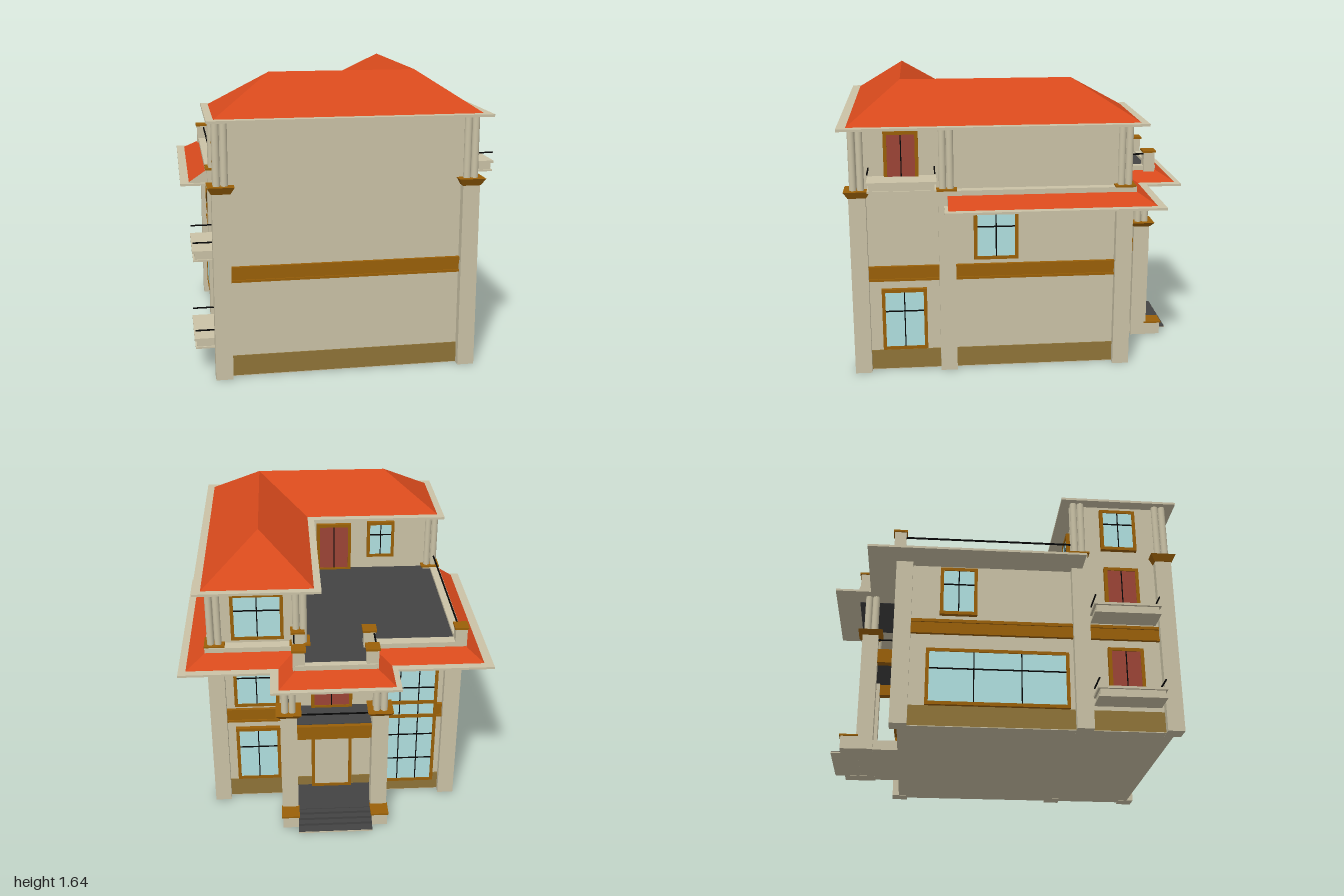
import * as THREE from 'three';

const mat = (name, color) => {
  const m = new THREE.MeshStandardMaterial({ color });
  m.name = name;
  return m;
};

export function createModel() {
  const wall = mat('wall', 0xcac2a6), brown = mat('brownTrim', 0x9a6008), red = mat('roofTile', 0xd6491c);
  const glass = mat('glass', 0xb0e0e0), doorRed = mat('doorRed', 0x9c4436), plinth = mat('plinth', 0x8f7438);
  const dark = mat('darkFloor', 0x434343), black = mat('railing', 0x060606);
  const house = new THREE.Group();
  house.name = 'house';

  const add = (name, geo, m, parent = house) => {
    const mesh = new THREE.Mesh(geo, m);
    mesh.name = name;
    parent.add(mesh);
    return mesh;
  };
  // box given by its limits on each axis
  const box = (name, m, x0, x1, y0, y1, z0, z1, parent = house) => {
    const mesh = add(name, new THREE.BoxGeometry(x1 - x0, y1 - y0, z1 - z0), m, parent);
    mesh.position.set((x0 + x1) / 2, (y0 + y1) / 2, (z0 + z1) / 2);
    return mesh;
  };
  // flat faces from polygons of [x, y, z] corners
  const faces = (name, m, polys) => {
    const p = [];
    for (const f of polys)
      for (let i = 1; i < f.length - 1; i++) p.push(...f[0], ...f[i], ...f[i + 1]);
    const g = new THREE.BufferGeometry();
    g.setAttribute('position', new THREE.Float32BufferAttribute(p, 3));
    g.computeVertexNormals();
    return add(name, g, m);
  };
  // horizontal slab from an [x, z] outline
  const slab = (name, m, pts, y, h) => {
    const s = new THREE.Shape(pts.map(([x, z]) => new THREE.Vector2(x, -z)));
    const g = new THREE.ExtrudeGeometry(s, { depth: h, bevelEnabled: false });
    g.rotateX(-Math.PI / 2);
    add(name, g, m).position.y = y;
  };
  // square flared capital
  const capital = (x, z, y0, y1) => {
    const g = new THREE.CylinderGeometry(0.145 / Math.SQRT2, 0.1 / Math.SQRT2, y1 - y0, 4).toNonIndexed();
    g.computeVertexNormals();
    g.rotateY(Math.PI / 4);
    add('capital', g, brown).position.set(x, (y0 + y1) / 2, z);
  };
  // cluster of four round columns
  const columns = (x, z, y0, y1) => {
    for (const dx of [-1, 1]) for (const dz of [-1, 1])
      add('roundColumn', new THREE.CylinderGeometry(0.02, 0.02, y1 - y0, 16), wall)
        .position.set(x + dx * 0.021, (y0 + y1) / 2, z + dz * 0.021);
  };
  const pillar = (x, z, y1) => box('pillar', wall, x - 0.047, x + 0.047, 0, y1, z - 0.047, z + 0.047);

  const X = 0.68, ZF = 0.905, ZB = -0.585, ZM = 0.415;

  // main body and the L-shaped top floor
  box('lowerFloors', wall, -X, X, 0.006, 1.05, ZB, ZF);
  box('topFrontWing', wall, -X, X, 1.05, 1.43, ZM, ZF);
  box('topSideWing', wall, 0.17, X, 1.05, 1.43, ZB, ZM);

  // foundation, plinth and string course
  box('foundation', wall, -X - 0.006, X + 0.006, 0.001, 0.005, ZB - 0.006, ZF + 0.006);
  box('plinth', plinth, -X - 0.006, X + 0.006, 0.005, 0.12, ZB - 0.006, ZF + 0.006);
  for (const [o, y0, y1] of [[0.012, 0.543, 0.63], [0.02, 0.543, 0.556], [0.02, 0.612, 0.63]])
    box('stringCourse', brown, -X - o, X + o, y0, y1, ZB - o, ZF + o);

  // pillars, capitals and top-floor columns
  for (const s of [-1, 1]) {
    const x = s * X;
    pillar(x, ZF, 1.04);
    capital(x, ZF, 1.04, 1.08);
    columns(x, ZF, 1.08, 1.43);
    pillar(x, ZM, 1.07);
    box('columnBase', brown, x - 0.058, x + 0.058, 1.07, 1.08, ZM - 0.058, ZM + 0.058);
    columns(x, ZM, 1.08, 1.43);
    pillar(x, ZB, s > 0 ? 1.07 : 0.98);
  }
  for (const x of [X, 0.2]) {
    box('columnBase', brown, x - 0.058, x + 0.058, 1.07, 1.08, ZB - 0.058, ZB + 0.058);
    columns(x, ZB, 1.07, 1.43);
  }

  // main hipped roof and its eave
  slab('mainEave', wall, [[-0.75, 1], [0.78, 1], [0.78, -0.7], [0.08, -0.7], [0.08, 0.32], [-0.75, 0.32]], 1.421, 0.014);
  const [A, B, C, D, E, F] = [[-0.71, 0.95], [0.735, 0.95], [0.735, -0.66], [0.12, -0.66], [0.12, 0.37], [-0.71, 0.37]]
    .map(([x, z]) => [x, 1.435, z]);
  const [P, Q, R] = [[-0.39, 0.66], [0.42, 0.66], [0.42, -0.31]].map(([x, z]) => [x, 1.645, z]);
  faces('mainRoof', red, [[A, B, Q, P], [B, C, R, Q], [C, D, R], [D, E, Q, R], [E, F, P, Q], [F, A, P]]);

  // lower skirt roof running round the sides, back and porch
  slab('lowerEave', wall, [[0.88, 0.43], [0.88, -0.79], [0.37, -0.79], [0.37, -1], [-0.34, -1], [-0.34, -0.79],
    [-0.88, -0.79], [-0.88, 0.43]], 0.973, 0.013);
  const outer = [[0.838, 0.41], [0.838, -0.745], [0.325, -0.745], [0.325, -0.97], [-0.31, -0.97], [-0.31, -0.745], [-0.83, -0.745], [-0.83, 0.41]];
  const inner = [[0.73, 0.41], [0.73, -0.645], [0.23, -0.645], [0.23, -0.865], [-0.215, -0.865], [-0.215, -0.645], [-0.735, -0.645], [-0.735, 0.41]];
  const lo = outer.map(([x, z]) => [x, 0.986, z]), hi = inner.map(([x, z]) => [x, 1.045, z]);
  faces('skirtRoof', red, lo.slice(1).map((_, i) => [lo[i], lo[i + 1], hi[i + 1], hi[i]]));
  faces('skirtRoofEnds', wall, [
    [[0.69, 0.985, 0.41], [0.84, 0.985, 0.41], [0.73, 1.06, 0.41], [0.69, 1.06, 0.41]],
    [[-0.84, 0.985, 0.41], [-0.69, 0.985, 0.41], [-0.69, 1.06, 0.41], [-0.73, 1.06, 0.41]]]);

  // terrace floor, parapet, posts and rails
  box('terraceFloor', dark, -0.69, 0.17, 1.04, 1.056, -0.6, ZM);
  box('porchTerrace', dark, -0.2, 0.22, 1.04, 1.056, -0.84, -0.59);
  box('porchCeiling', dark, -0.2, 0.22, 0.971, 0.974, -0.86, -0.6);
  const parapet = (x0, x1, z0, z1) => box('parapet', wall, x0, x1, 0.98, 1.072, z0, z1);
  parapet(-0.735, -0.68, -0.648, 0.37);
  parapet(-0.735, -0.17, -0.648, -0.585);
  parapet(-0.22, -0.18, -0.868, -0.6);
  parapet(0.195, 0.235, -0.868, -0.6);
  parapet(-0.22, 0.235, -0.868, -0.828);
  parapet(0.2, 0.735, -0.648, -0.585);
  parapet(0.68, 0.733, -0.648, 0.41);
  for (const [x, z] of [[-0.71, -0.615], [-0.19, -0.62], [-0.19, -0.828], [0.213, -0.828], [0.213, -0.62]]) {
    box('terracePost', wall, x - 0.033, x + 0.033, 1, 1.153, z - 0.033, z + 0.033);
    box('postCap', brown, x - 0.04, x + 0.04, 1.153, 1.165, z - 0.04, z + 0.04);
  }
  const rail = (x0, x1, y, z0, z1) => box('rail', black, x0, x1, y - 0.004, y + 0.004, z0, z1);
  rail(-0.704, -0.696, 1.143, -0.6, 0.37);
  for (const x of [-0.215, 0.235]) rail(x - 0.004, x + 0.004, 1.143, -0.82, -0.63);

  // porch: pillars, upper floor, rails, base and steps
  const PZ = -0.78, PL = -0.245, PR = 0.275;
  for (const x of [PL, PR]) {
    pillar(x, PZ, 0.71);
    capital(x, PZ, 0.71, 0.737);
    columns(x, PZ, 0.737, 0.975);
    box('porchSideBeam', brown, x - 0.025, x + 0.025, 0.545, 0.63, PZ, ZB);
    rail(x - 0.003, x + 0.003, 0.7, PZ, ZB);
    box('stepCheek', wall, x - 0.045, x + 0.045, 0, 0.074, -0.915, -0.82);
    box('cheekCap', brown, x - 0.052, x + 0.052, 0.074, 0.084, -0.922, -0.815);
  }
  box('porchFrontBeam', brown, PL, PR, 0.545, 0.63, PZ - 0.025, PZ + 0.025);
  rail(PL, PR, 0.7, PZ - 0.003, PZ + 0.003);
  box('porchBalconyFloor', dark, PL + 0.02, PR - 0.02, 0.615, 0.634, PZ, ZB);
  box('porchBase', wall, PL - 0.03, PR + 0.03, 0.002, 0.058, -0.82, ZB);
  box('porchPaving', dark, PL, PR, 0.055, 0.061, -0.825, ZB);
  box('stepBase', wall, PL + 0.045, PR - 0.045, 0.001, 0.009, -0.972, -0.82);
  [-0.97, -0.92, -0.887, -0.855].forEach((z, i) =>
    box('step', dark, PL + 0.045, PR - 0.045, 0.006, 0.012 + i * 0.015, z, -0.82));

  // framed opening: side is the facing, u the position along the wall
  const turn = { right: Math.PI / 2, back: Math.PI, left: -Math.PI / 2 };
  const opening = (name, side, plane, u0, u1, y0, y1, cols, bars, fill) => {
    const g = new THREE.Group(), w = u1 - u0, h = y1 - y0, t = 0.019;
    g.name = name;
    const ring = (a, b) => [[-a, b], [a, b], [a, h - b], [-a, h - b]].map(p => new THREE.Vector2(...p));
    const s = new THREE.Shape(ring(w / 2, 0));
    s.holes.push(new THREE.Path(ring(w / 2 - t, t)));
    add('frame', new THREE.ExtrudeGeometry(s, { depth: 0.026, bevelEnabled: false }), brown, g);
    // pane sits just proud of the string course
    box('pane', fill, -w / 2 + t, w / 2 - t, t, h - t, 0.013, 0.0215, g);
    for (let i = 1; i < cols; i++) {
      const x = -w / 2 + (w * i) / cols;
      box('mullion', black, x - 0.003, x + 0.003, t, h - t, 0.02, 0.024, g);
    }
    for (const b of bars) box('glazingBar', black, -w / 2 + t, w / 2 - t, b * h - 0.004, b * h + 0.004, 0.02, 0.024, g);
    const u = (u0 + u1) / 2;
    g.position.set(side === 'back' ? u : plane, y0, side === 'back' ? plane : u);
    g.rotation.y = turn[side];
    house.add(g);
    return g;
  };
  const win = (...a) => opening('window', ...a, glass);
  const door = (...a) => opening('door', ...a, 2, [], doorRed);

  // right side
  win('right', X, 0.535, 0.79, 0.13, 0.495, 2, [0.64]);
  win('right', X, 0.015, 0.265, 0.66, 0.96, 2, [0.64]);
  door('right', X, 0.565, 0.755, 1.12, 1.405);
  // left side
  win('left', -X, -0.45, 0.34, 0.12, 0.45, 3, [0.64]);
  win('left', -X, -0.38, -0.17, 0.66, 0.955, 2, [0.64]);
  win('left', -X, 0.55, 0.76, 1.12, 1.39, 2, [0.64]);
  door('left', -X, 0.56, 0.76, 0.18, 0.49);
  door('left', -X, 0.56, 0.76, 0.67, 1.0);
  // back
  const tall = win('back', ZB, -0.6, -0.27, 0.08, 0.94, 3, [0.2, 0.4, 0.78]);
  for (const y of [0.465, 0.56]) box('transom', brown, -0.15, 0.15, y, y + 0.022, 0.02, 0.027, tall);
  win('back', ZB, 0.325, 0.585, 0.135, 0.5, 2, [0.64]);
  win('back', ZB, 0.325, 0.585, 0.655, 0.955, 2, [0.64]);
  win('back', ZB, 0.29, 0.585, 1.1, 1.385, 2, [0.64]);
  opening('entrance', 'back', ZB, -0.1, 0.14, 0.06, 0.48, 1, [], wall);
  door('back', ZB, -0.1, 0.14, 0.63, 0.94);
  // terrace wall
  door('back', ZM, -0.16, 0.06, 1.05, 1.37);
  win('back', ZM, -0.44, -0.265, 1.14, 1.38, 2, [0.64]);

  // small side balconies with rails on both ends
  for (const [s, y] of [[-1, 0.146], [-1, 0.646], [1, 1.092]]) {
    const side = (name, x, y0, y1, z0, z1, m = wall) =>
      box(name, m, Math.min(s * 0.67, s * x), Math.max(s * 0.67, s * x), y0, y1, z0, z1);
    side('balconyBase', 0.83, y, y + 0.01, 0.472, 0.845);
    side('balconyBody', 0.822, y + 0.01, y + 0.046, 0.482, 0.835);
    side('balconyTop', 0.835, y + 0.046, y + 0.06, 0.47, 0.847);
    for (const z of [0.479, 0.84]) side('balconyRail', 0.83, y + 0.102, y + 0.109, z - 0.0035, z + 0.0035, black);
  }
  return house;
}
